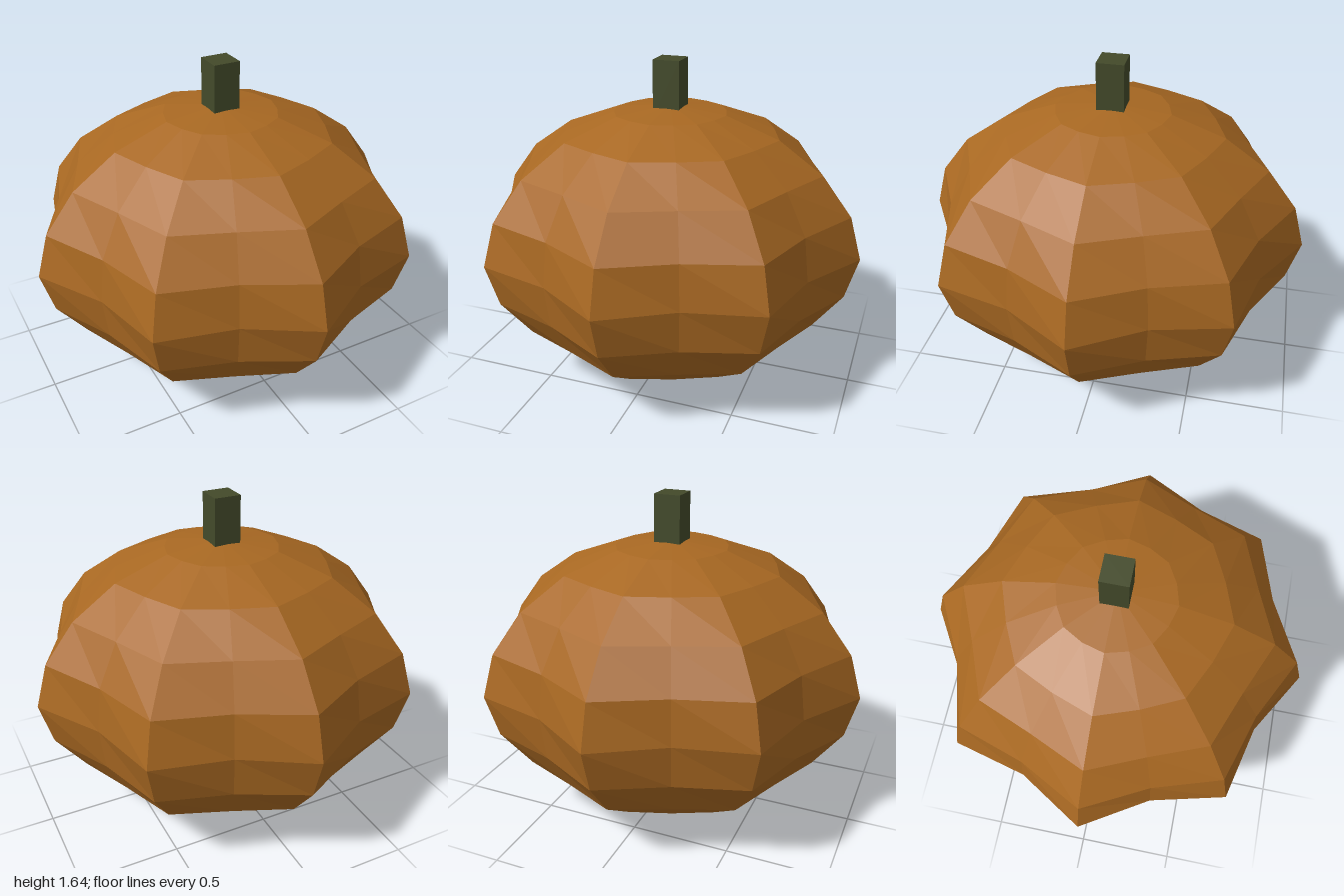
import * as THREE from 'three';

export function createModel() {
  const model = new THREE.Group();
  model.name = 'pumpkin';

  // Ribbed body: a sphere whose eight ribs fade towards the poles
  const halfHeight = 0.705;
  const body = new THREE.SphereGeometry(1, 16, 10);
  const pos = body.attributes.position;
  for (let i = 0; i < pos.count; i++) {
    const x = pos.getX(i), y = pos.getY(i), z = pos.getZ(i);
    const latitude = Math.abs(Math.asin(THREE.MathUtils.clamp(y, -1, 1))) / (Math.PI / 2);
    const rib = Math.cos(8 * Math.atan2(z, x));
    const f = 0.933 + 0.067 * (1 - latitude) * rib;
    pos.setXYZ(i, x * f, (y + 1) * halfHeight, z * f);
  }
  body.computeVertexNormals();
  const flesh = new THREE.Mesh(body, new THREE.MeshStandardMaterial({ color: 0xa86822, flatShading: true }));
  flesh.name = 'body';
  model.add(flesh);

  // Square stem, sunk a little into the top
  const stem = new THREE.Mesh(
    new THREE.BoxGeometry(0.137, 0.28, 0.137),
    new THREE.MeshStandardMaterial({ color: 0x434a2a, flatShading: true })
  );
  stem.name = 'stem';
  stem.position.y = 1.5;
  model.add(stem);

  return model;
}
